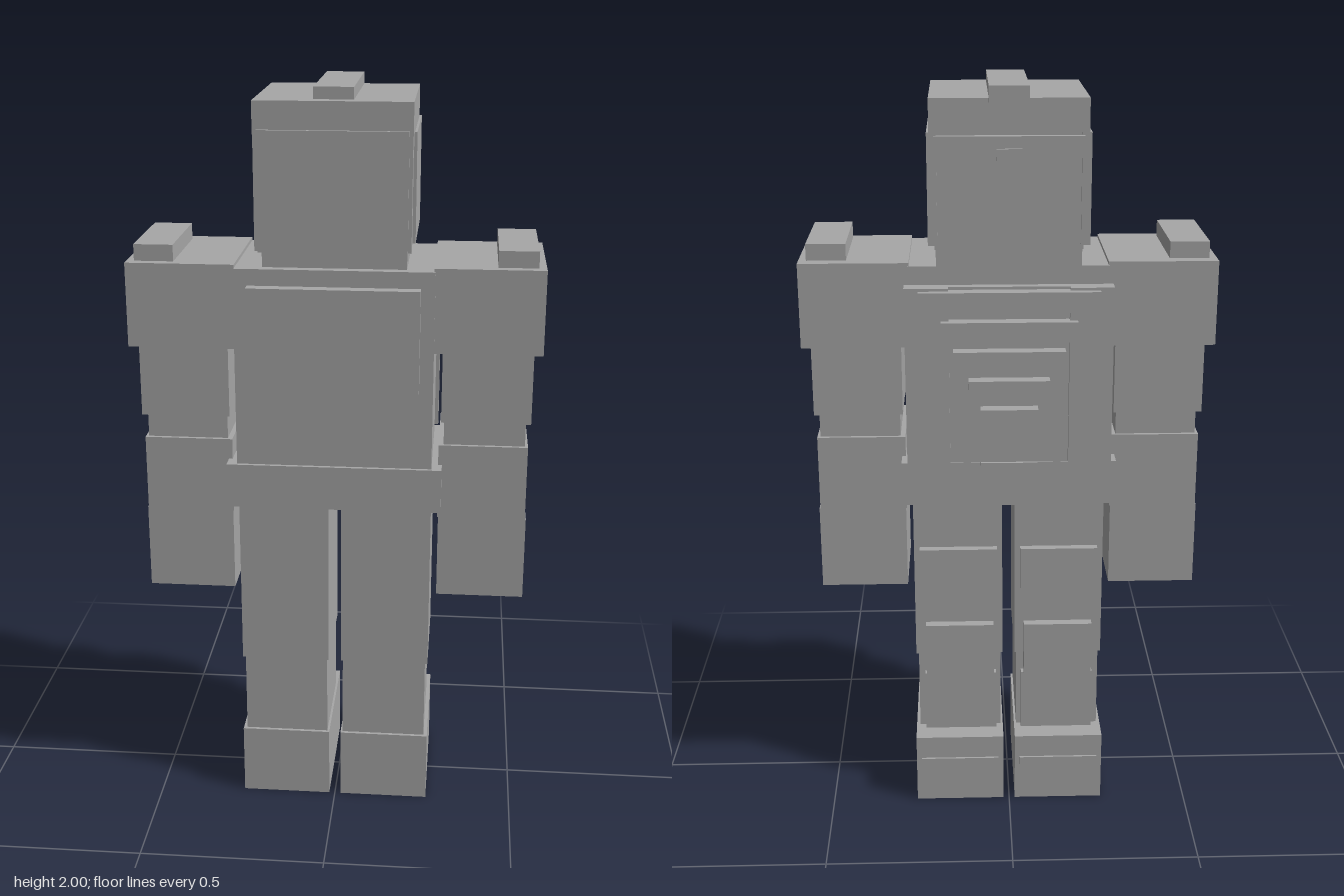
import * as THREE from 'three';

export function createModel() {
  const model = new THREE.Group();
  model.name = 'blockFigure';
  const grey = new THREE.MeshStandardMaterial({ color: 0xa6a6a6 });
  grey.name = 'grey';

  // box given by its limits on each axis
  function box(parent, name, x0, x1, y0, y1, z0, z1) {
    const mesh = new THREE.Mesh(new THREE.BoxGeometry(x1 - x0, y1 - y0, z1 - z0), grey);
    mesh.position.set((x0 + x1) / 2, (y0 + y1) / 2, (z0 + z1) / 2);
    mesh.name = name;
    parent.add(mesh);
  }
  // box centred on x = 0, given by its half width
  const mid = (parent, name, w, y0, y1, z0, z1) => box(parent, name, -w, w, y0, y1, z0, z1);
  // mirrored pair, given by the limits on the left side
  function pair(parent, name, x0, x1, ...rest) {
    box(parent, name + 'Left', x0, x1, ...rest);
    box(parent, name + 'Right', -x1, -x0, ...rest);
  }
  function group(name) {
    const g = new THREE.Group();
    g.name = name;
    model.add(g);
    return g;
  }

  // legs with thigh, knee, shin and toe plates
  const legs = group('legs');
  pair(legs, 'foot', 0.016, 0.262, 0, 0.2, -0.2, 0.163);
  pair(legs, 'toeCap', 0.03, 0.248, 0.02, 0.135, -0.206, -0.198);
  pair(legs, 'lowerLeg', 0.022, 0.252, 0.2, 0.43, -0.125, 0.154);
  pair(legs, 'upperLeg', 0.017, 0.259, 0.43, 0.9, -0.128, 0.16);
  pair(legs, 'shinPlate', 0.035, 0.235, 0.2, 0.375, -0.145, -0.12);
  pair(legs, 'kneePad', 0.042, 0.23, 0.385, 0.535, -0.166, -0.12);
  pair(legs, 'thighPlate', 0.032, 0.243, 0.54, 0.757, -0.15, -0.12);

  // belt and buckle
  const waist = group('waist');
  mid(waist, 'belt', 0.285, 0.9, 1.02, -0.172, 0.195);
  mid(waist, 'buckle', 0.075, 0.905, 1.025, -0.19, -0.16);

  // torso, vest panels and stepped ribs
  const torso = group('torso');
  mid(torso, 'torso', 0.258, 1.02, 1.548, -0.158, 0.185);
  mid(torso, 'chestPanel', 0.25, 1.025, 1.5, -0.182, -0.15);
  pair(torso, 'vestStrip', 0.155, 0.268, 1.03, 1.5, -0.199, -0.15);
  mid(torso, 'backPlate', 0.222, 1.235, 1.505, 0.18, 0.216);
  [0.232, 0.175, 0.145, 0.105, 0.075].forEach((w, i) => {
    const y = 1.44 - i * 0.078;
    mid(torso, 'rib' + (i + 1), w, y, y + 0.053, -0.217, -0.175);
  });
  mid(torso, 'neck', 0.185, 1.54, 1.605, -0.17, 0.16);

  // arms
  const arms = group('arms');
  pair(arms, 'shoulder', 0.255, 0.537, 1.335, 1.557, -0.157, 0.18);
  pair(arms, 'shoulderPad', 0.415, 0.517, 1.55, 1.6, -0.122, 0.155);
  pair(arms, 'upperArm', 0.28, 0.515, 1.14, 1.335, -0.124, 0.154);
  pair(arms, 'elbow', 0.288, 0.502, 1.075, 1.14, -0.108, 0.14);
  pair(arms, 'forearm', 0.275, 0.51, 0.87, 1.075, -0.118, 0.15);
  pair(arms, 'hand', 0.278, 0.513, 0.64, 0.87, -0.114, 0.145);

  // head, hair cap, cheek panels and brow band
  const head = group('head');
  mid(head, 'head', 0.187, 1.595, 1.9, -0.18, 0.2);
  mid(head, 'cap', 0.198, 1.888, 1.97, -0.186, 0.206);
  pair(head, 'capSide', 0.18, 0.197, 1.855, 1.89, 0.125, 0.205);
  mid(head, 'backHair', 0.197, 1.6, 1.89, 0.163, 0.206);
  mid(head, 'backHairPanel', 0.188, 1.598, 1.9, 0.2, 0.215);
  pair(head, 'cheekPanel', 0.18, 0.204, 1.608, 1.888, -0.188, 0.125);
  mid(head, 'browBand', 0.186, 1.83, 1.88, -0.2, -0.175);
  mid(head, 'browGem', 0.032, 1.788, 1.85, -0.208, -0.175);
  mid(head, 'crest', 0.05, 1.96, 2.0, -0.19, 0.17);

  return model;
}
